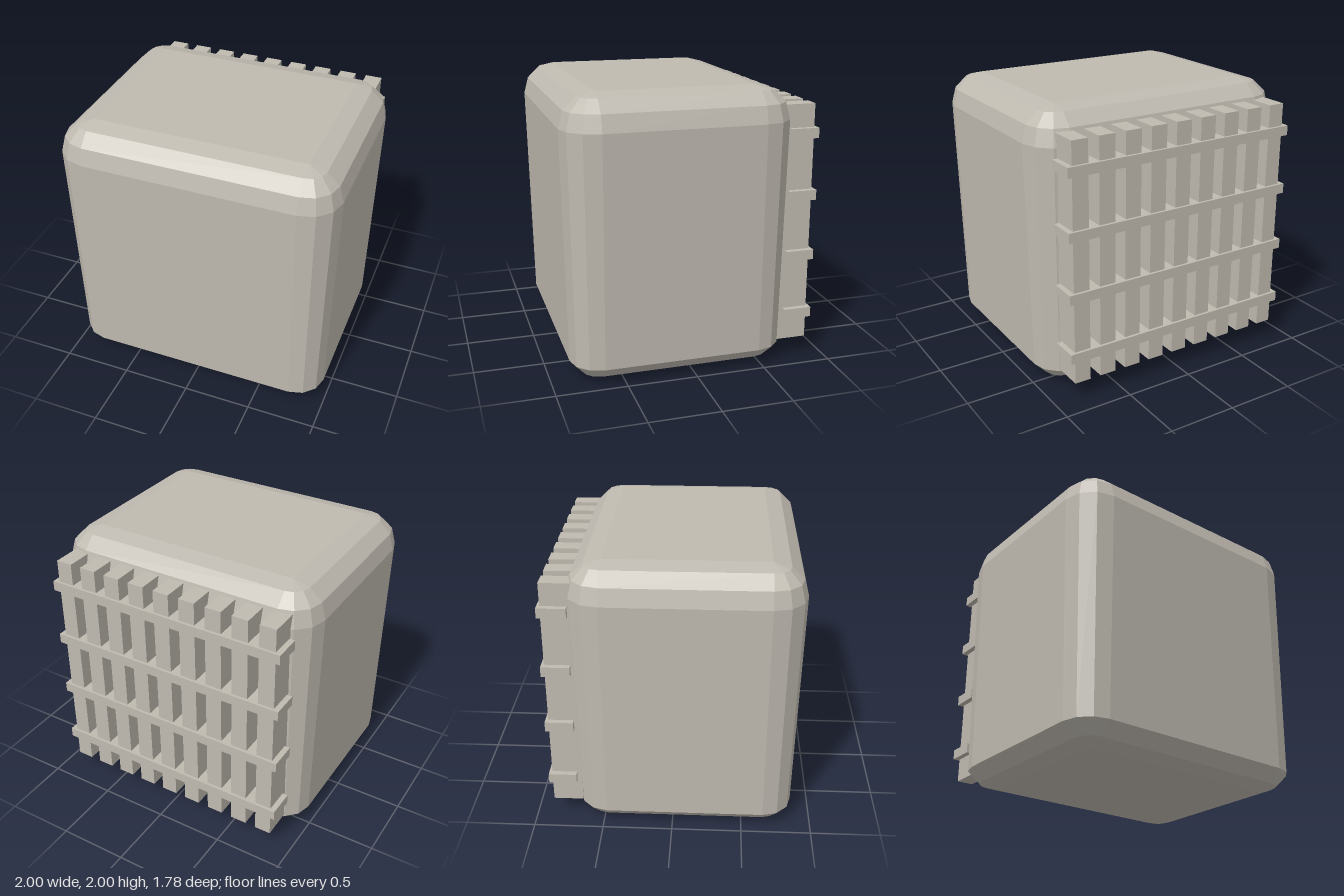
import * as THREE from 'three';

const shell = new THREE.MeshStandardMaterial({ color: 0xbfbab0 });
shell.name = 'warm grey';

// Rounded-rectangle cross-section: a fixed inner rectangle grown by r
function section(y, r) {
  const hx = 0.76, hz = 0.56, cz = 0.09, steps = 3, points = [];
  const corners = [[1, 1], [-1, 1], [-1, -1], [1, -1]];
  corners.forEach(([sx, sz], q) => {
    for (let i = 0; i <= steps; i++) {
      const a = (q + i / steps) * Math.PI / 2;
      points.push(new THREE.Vector3(sx * hx + r * Math.cos(a), y, cz + sz * hz + r * Math.sin(a)));
    }
  });
  return points;
}

// Skins the stacked sections with flat faces and closes both ends
function loft(rings) {
  const positions = [];
  const tri = (a, b, c) => {
    const area = b.clone().sub(a).cross(c.clone().sub(a)).length();
    if (area > 1e-7) positions.push(...a.toArray(), ...b.toArray(), ...c.toArray());
  };
  const n = rings[0].length;
  for (let k = 0; k < rings.length - 1; k++) {
    const lo = rings[k], up = rings[k + 1];
    for (let j = 0; j < n; j++) {
      const m = (j + 1) % n;
      tri(lo[j], up[j], lo[m]);
      tri(up[j], up[m], lo[m]);
    }
  }
  const bottom = rings[0], top = rings[rings.length - 1];
  for (let j = 1; j < n - 1; j++) {
    tri(bottom[0], bottom[j], bottom[j + 1]);
    tri(top[0], top[j + 1], top[j]);
  }
  const geometry = new THREE.BufferGeometry();
  geometry.setAttribute('position', new THREE.Float32BufferAttribute(positions, 3));
  geometry.computeVertexNormals();
  return geometry;
}

function box(name, w, h, d, x, y, z) {
  const mesh = new THREE.Mesh(new THREE.BoxGeometry(w, h, d), shell);
  mesh.name = name;
  mesh.position.set(x, y, z);
  return mesh;
}

export function createModel() {
  const model = new THREE.Group();
  model.name = 'cabinet';

  // Bevelled body, tapering slightly towards the base
  const profile = [[0, 0], [0.035, 0.12], [0.125, 0.208], [1.765, 0.24], [1.885, 0.208], [1.97, 0.12], [2, 0]];
  const body = new THREE.Mesh(loft(profile.map(([y, r]) => section(y, r))), shell);
  body.name = 'body';
  model.add(body);

  // Rear grille: upright slats tied by cross bars
  const grille = new THREE.Group();
  grille.name = 'rearGrille';
  for (let i = 0; i < 9; i++) {
    grille.add(box('slat', 0.12, 1.725, 0.215, (i - 4) * 0.2, 1.0025, -0.7625));
  }
  for (let i = 0; i < 4; i++) {
    grille.add(box('crossBar', 1.8, 0.072, 0.2, 0, 0.345 + i * 0.44, -0.79));
  }
  model.add(grille);
  return model;
}
